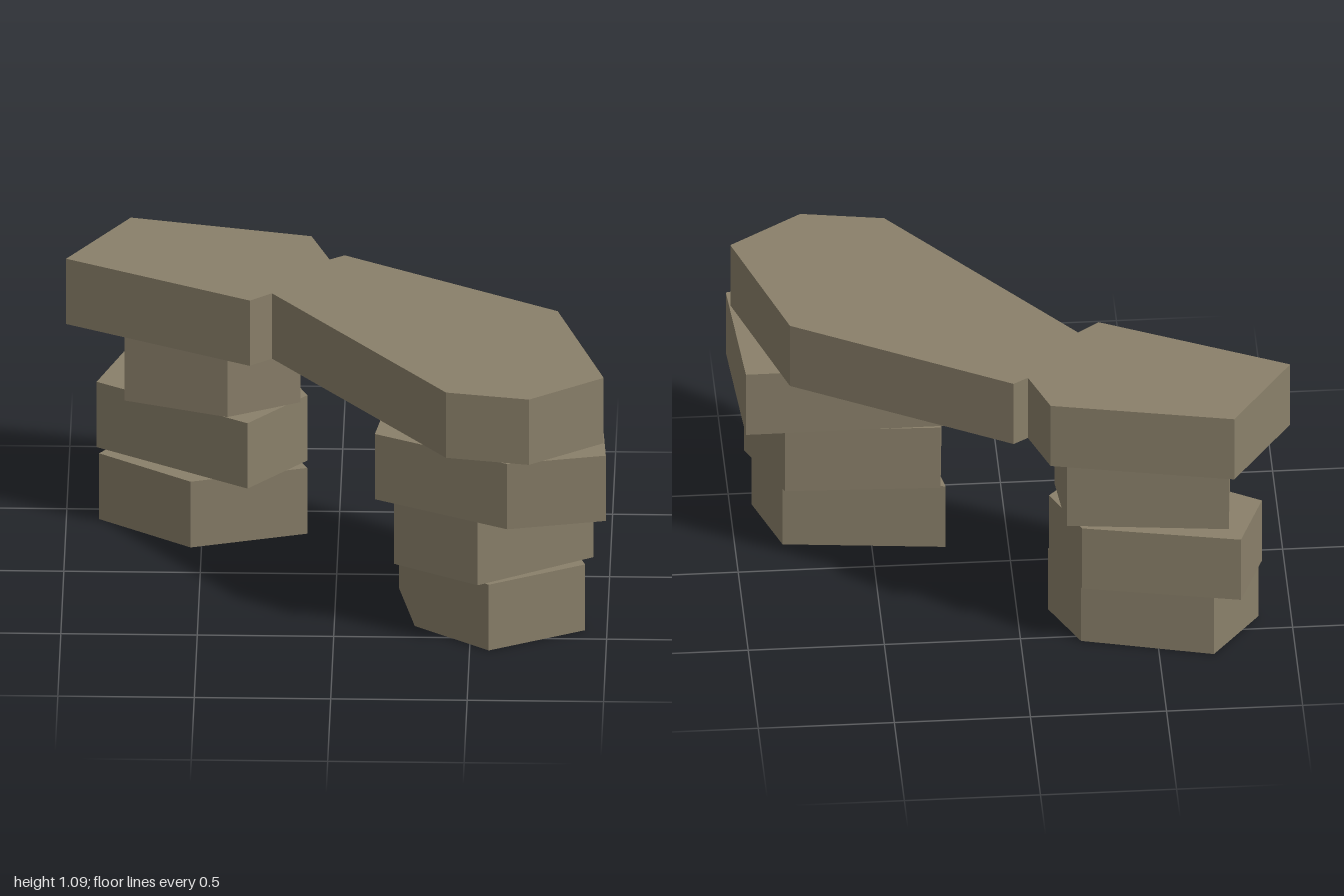
import * as THREE from 'three';

// Flat stone: a footprint of [x, z] corners raised from y0 to y1
function slab(name, footprint, y0, y1, material) {
  const shape = new THREE.Shape(footprint.map(([x, z]) => new THREE.Vector2(x, -z)));
  const geometry = new THREE.ExtrudeGeometry(shape, { depth: y1 - y0, bevelEnabled: false });
  geometry.rotateX(-Math.PI / 2);
  geometry.translate(0, y0, 0);
  const mesh = new THREE.Mesh(geometry, material);
  mesh.name = name;
  return mesh;
}

export function createModel() {
  const stone = new THREE.MeshStandardMaterial({ color: 0x8a806a, flatShading: true });
  stone.name = 'stone';

  const model = new THREE.Group();
  model.name = 'stoneArch';

  // Stacked stones of each pillar, bottom to top
  const pillars = {
    leftPillar: [
      [[0.23, 0.105], [0.295, 0.41], [0.57, 0.6], [0.92, 0.43], [0.825, 0.165]],
      [[0.25, 0.09], [0.22, 0.45], [0.53, 0.615], [0.95, 0.38], [0.82, 0.11]],
      [[0.21, 0.095], [0.15, 0.465], [0.64, 0.695], [1.0, 0.62], [0.965, 0.09]],
    ],
    rightPillar: [
      [[-0.7, -0.65], [-0.88, -0.42], [-0.54, -0.2], [-0.115, -0.32], [-0.22, -0.53]],
      [[-0.795, -0.705], [-0.89, -0.46], [-0.33, -0.14], [-0.115, -0.37], [-0.22, -0.59]],
      [[-0.755, -0.64], [-0.785, -0.305], [-0.405, -0.18], [-0.14, -0.305], [-0.165, -0.575]],
    ],
  };
  const levels = [[0.003, 0.271], [0.276, 0.545], [0.549, 0.818]];
  levels[0][0] = 0;
  for (const [name, stones] of Object.entries(pillars)) {
    const pillar = new THREE.Group();
    pillar.name = name;
    stones.forEach((footprint, i) => {
      pillar.add(slab(`pillarStone${i + 1}`, footprint, ...levels[i], stone));
    });
    model.add(pillar);
  }

  // Long notched capstone bridging both pillars
  const capstone = [
    [-1, -0.38], [-0.32, -0.06], [-0.24, -0.12], [0.415, 0.66], [0.72, 0.71], [0.99, 0.53],
    [0.81, 0], [0.02, -0.43], [-0.035, -0.395], [-0.105, -0.58], [-0.77, -0.715],
  ];
  model.add(slab('capstone', capstone, 0.823, 1.092, stone));

  return model;
}
